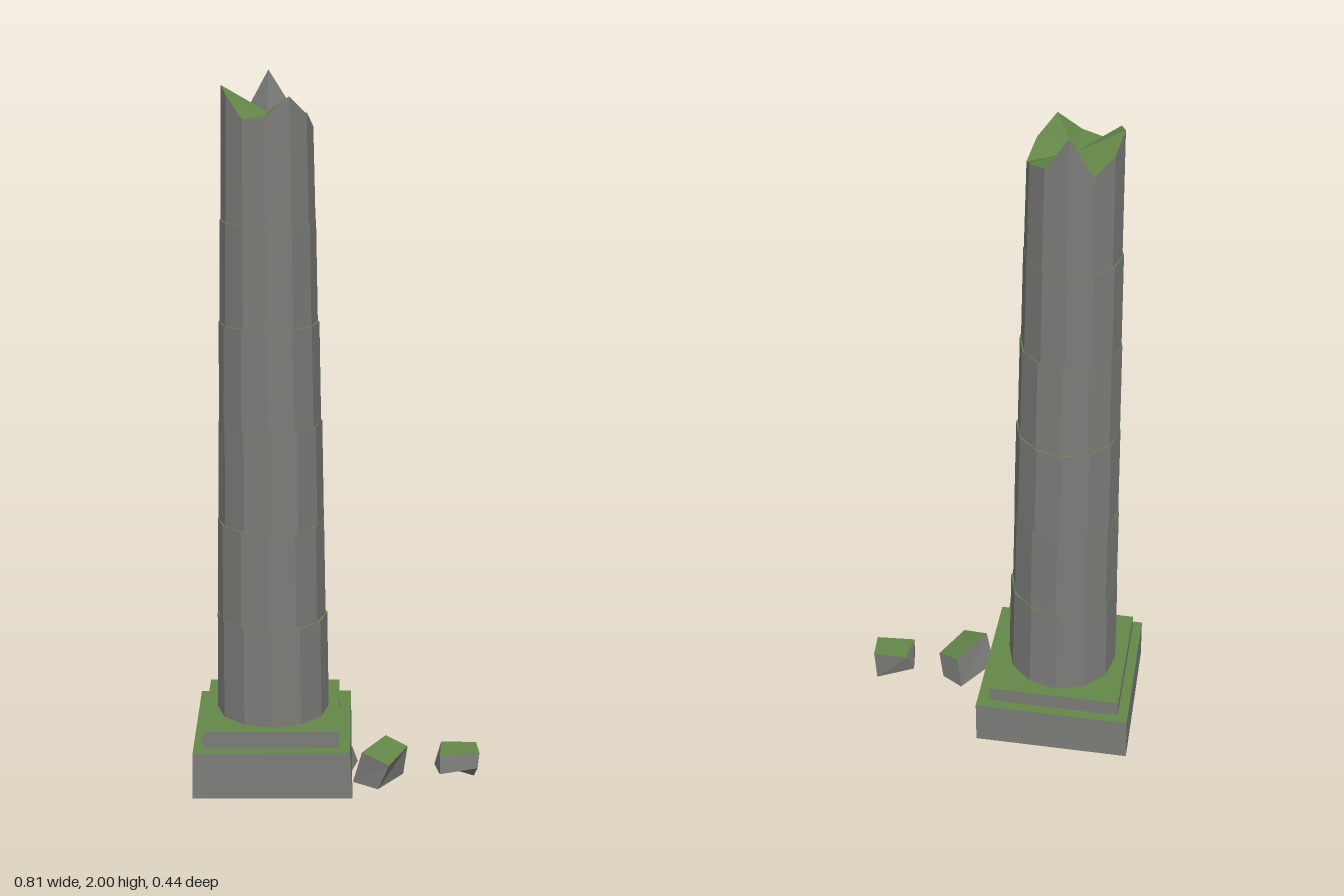
import * as THREE from 'three';

const SIDES = 12;
const CX = -0.183, CZ = -0.007;

export function createModel() {
  const stone = new THREE.MeshStandardMaterial({ color: 0x7b7b78, flatShading: true });
  stone.name = 'stone';
  const moss = new THREE.MeshStandardMaterial({ color: 0x658848, flatShading: true });
  moss.name = 'moss';
  const model = new THREE.Group();
  model.name = 'ruinedColumn';

  const mean = (ring) => ring.reduce((s, p) => s.add(p), new THREE.Vector3()).divideScalar(ring.length);

  // Solid between two rings (counter-clockwise from above); upward faces get moss
  function solid(name, bottom, top, topCentre = mean(top)) {
    const faces = [[], []];
    const add = (a, b, c) => {
      const n = new THREE.Vector3().subVectors(b, a).cross(new THREE.Vector3().subVectors(c, a)).normalize();
      for (const p of [a, b, c]) faces[n.y > 0.6 ? 1 : 0].push(p.x, p.y, p.z);
    };
    const base = mean(bottom);
    bottom.forEach((b0, i) => {
      const j = (i + 1) % bottom.length;
      add(b0, bottom[j], top[j]);
      add(b0, top[j], top[i]);
      add(topCentre, top[i], top[j]);
      add(base, bottom[j], b0);
    });
    const geometry = new THREE.BufferGeometry();
    geometry.setAttribute('position', new THREE.Float32BufferAttribute(faces.flat(), 3));
    const split = faces[0].length / 3;
    geometry.addGroup(0, split, 0);
    geometry.addGroup(split, faces[1].length / 3, 1);
    geometry.computeVertexNormals();
    const mesh = new THREE.Mesh(geometry, [stone, moss]);
    mesh.name = name;
    model.add(mesh);
  }

  const points = (list) => list.map((p) => new THREE.Vector3(...p));

  // Corners run front left, front right, back right, back left as seen from the front
  const block = (name, bottom, top) => solid(name, points(bottom), points(top));

  // Round ring; heightAt gives the height of each corner
  const ring = (x, z, r, turn, heightAt) => Array.from({ length: SIDES }, (_, k) => {
    const a = (k / SIDES) * Math.PI * 2 + turn;
    return new THREE.Vector3(x + r * Math.sin(a), heightAt(k), z + r * Math.cos(a));
  });

  // Slightly uneven footing and plinth
  block('footing',
    [[-0.402, 0.03, 0.221], [0.043, 0.027, 0.215], [0.04, 0.027, -0.222], [-0.407, 0.03, -0.223]],
    [[-0.4, 0.163, 0.216], [0.036, 0.165, 0.213], [0.041, 0.165, -0.223], [-0.404, 0.165, -0.222]]);
  block('plinth',
    [[-0.374, 0.16, 0.183], [0.006, 0.16, 0.183], [0.006, 0.16, -0.194], [-0.374, 0.16, -0.194]],
    [[-0.374, 0.213, 0.183], [0.006, 0.213, 0.183], [0.006, 0.213, -0.195], [-0.374, 0.213, -0.194]]);

  // Stacked drums, each narrower and a little out of line
  const levels = [0.21, 0.497, 0.776, 1.058, 1.337, 1.615];
  const radii = [0.159, 0.1525, 0.147, 0.141, 0.1335, 0.127];
  const shiftX = [0, -0.002, -0.001, -0.002, -0.003, -0.002];
  const shiftZ = [0.002, 0.001, -0.002, 0, -0.003, -0.004];
  const turns = [0.02, -0.03, 0.03, -0.02, 0.02, 0];
  for (let i = 0; i < 5; i++) {
    const x = CX + shiftX[i], z = CZ + shiftZ[i];
    solid('drum' + (i + 1),
      ring(x, z, radii[i], turns[i], () => levels[i]),
      ring(x, z, radii[i] - 0.004, turns[i], () => levels[i + 1]));
  }

  // Broken top drum with a jagged rim, starting at the front and turning to the right
  const rim = [1.9, 1.95, 1.9, 1.862, 1.89, 1.905, 2.0, 1.89, 1.93, 1.97, 1.95, 1.89];
  const x = CX + shiftX[5], z = CZ + shiftZ[5];
  solid('brokenDrum',
    ring(x, z, radii[5], 0, () => levels[5]),
    ring(x, z, 0.122, 0, (k) => rim[k]),
    new THREE.Vector3(x, 1.9, z));

  // Fallen rubble
  block('nearRubble',
    [[0.045, 0.025, 0.105], [0.115, 0.02, 0.142], [0.19, 0.016, 0.032], [0.125, 0.028, -0.017]],
    [[0.07, 0.126, 0.127], [0.146, 0.1, 0.158], [0.202, 0.105, 0.038], [0.14, 0.123, 0.002]]);
  block('farRubble',
    [[0.292, 0.045, 0.097], [0.4, 0.058, 0.085], [0.395, 0, 0.01], [0.28, 0.042, 0.022]],
    [[0.292, 0.1, 0.09], [0.405, 0.102, 0.079], [0.4, 0.103, 0.005], [0.3, 0.103, 0.002]]);
  block('chip',
    [[0.015, 0.03, 0.035], [0.043, 0.03, 0.042], [0.06, 0.035, -0.013], [0.02, 0.03, -0.018]],
    [[0.015, 0.075, 0.03], [0.038, 0.075, 0.03], [0.044, 0.08, -0.012], [0.02, 0.08, -0.018]]);

  return model;
}
